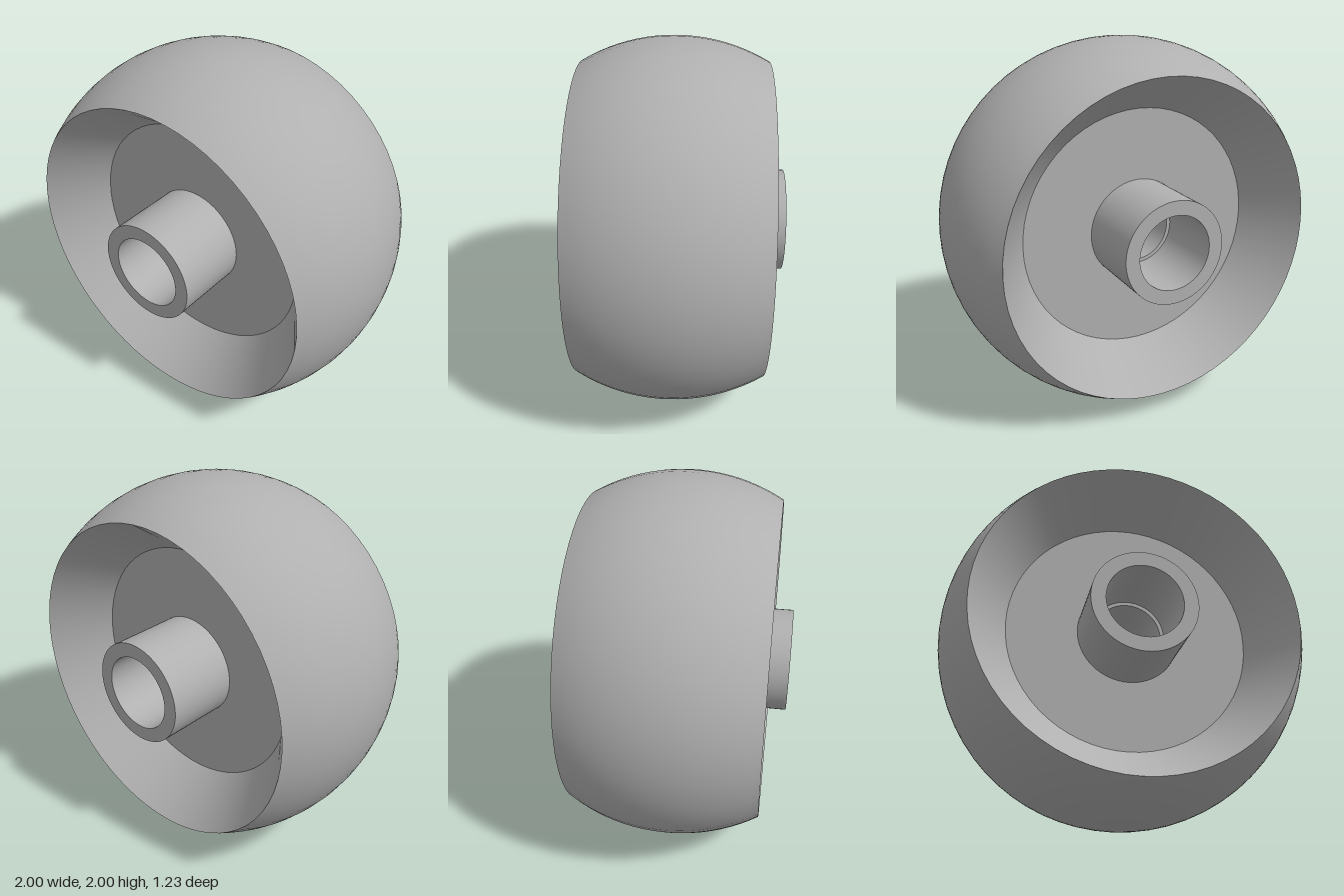
import * as THREE from 'three';
import { toCreasedNormals } from 'three/addons/utils/BufferGeometryUtils.js';

const SEGMENTS = 64;

// Revolves a closed profile of [radius, offset] points around the z axis
function revolve(name, profile, material) {
  const points = [...profile, profile[0]].map(([r, z]) => new THREE.Vector2(r, z));
  const geometry = new THREE.LatheGeometry(points, SEGMENTS).rotateX(Math.PI / 2);
  const mesh = new THREE.Mesh(toCreasedNormals(geometry, 0.4), material);
  mesh.name = name;
  return mesh;
}

export function createModel() {
  const grey = new THREE.MeshStandardMaterial({ color: 0xb0b0b0 });
  grey.name = 'grey';

  const model = new THREE.Group();
  model.name = 'ballWheel';
  const wheel = new THREE.Group();
  wheel.name = 'wheel';

  // Spherical tread, conical dishes on both sides and a pierced web
  const tread = [];
  const steps = 20;
  for (let i = 0; i <= steps; i++) {
    const a = (i / steps - 0.5) * Math.PI / 3;
    tread.push([Math.cos(a), Math.sin(a)]);
  }
  wheel.add(revolve('body', [
    ...tread,
    [0.658, 0.2], [0.18, 0.2],
    [0.18, -0.2], [0.658, -0.2],
  ], grey));

  // Hub sleeves standing on each side of the web
  for (const [name, z0, z1] of [['frontHub', 0.2, 0.6], ['backHub', -0.6, -0.2]]) {
    wheel.add(revolve(name, [[0.277, z0], [0.277, z1], [0.2, z1], [0.2, z0]], grey));
  }

  // The wheel is swivelled slightly about the vertical
  wheel.rotation.y = -0.0635;
  wheel.position.y = 1;
  model.add(wheel);
  return model;
}
